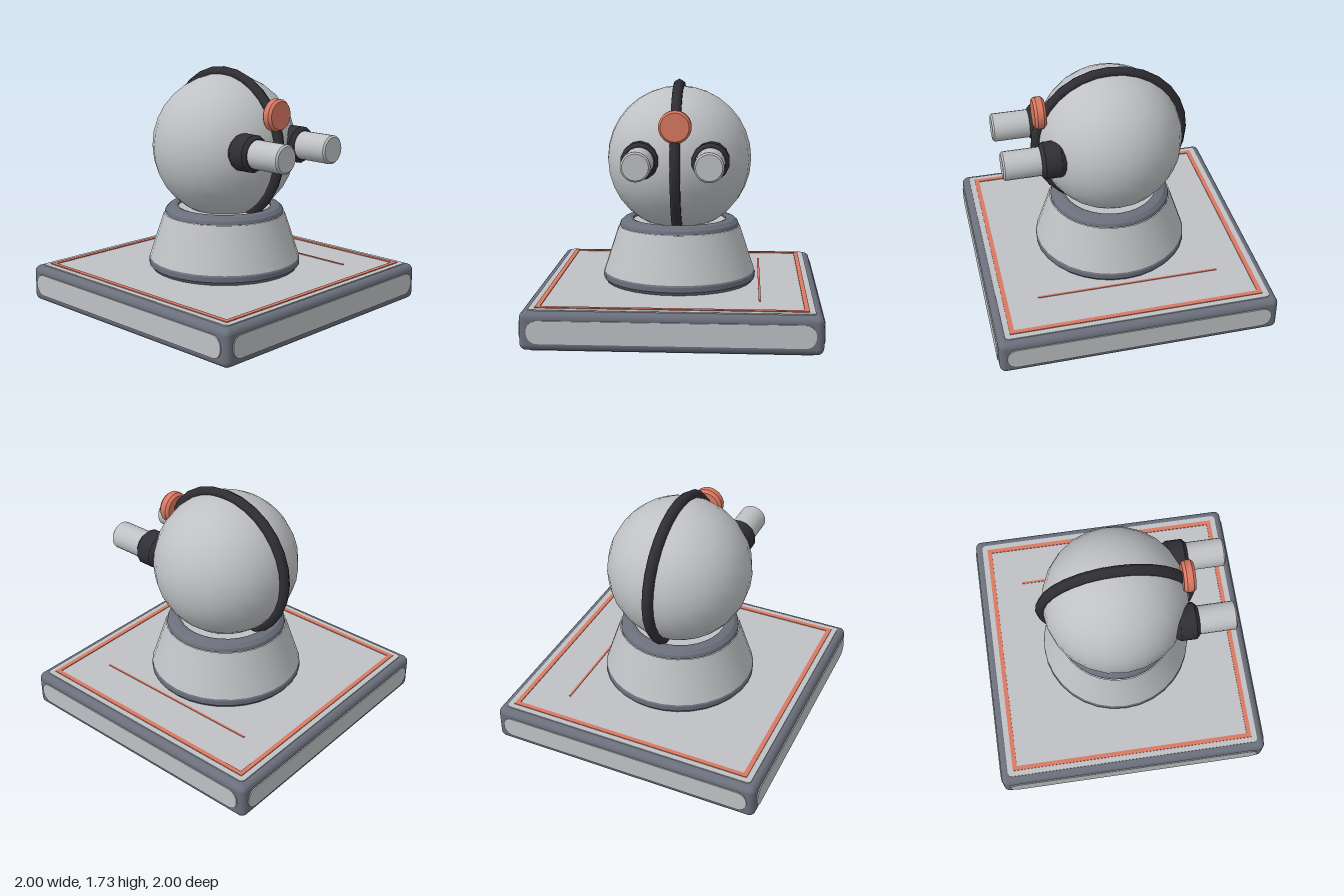
import * as THREE from 'three';
import { toCreasedNormals } from 'three/addons/utils/BufferGeometryUtils.js';
import { RoundedBoxGeometry } from 'three/addons/geometries/RoundedBoxGeometry.js';

const material = (name, color) => {
  const m = new THREE.MeshStandardMaterial({ color });
  m.name = name;
  return m;
};

// Rounded rectangle outline centred on the origin
function roundedRect(w, h, r) {
  const x = w / 2, y = h / 2, s = new THREE.Shape();
  s.absarc(x - r, y - r, r, 0, Math.PI / 2);
  s.absarc(-x + r, y - r, r, Math.PI / 2, Math.PI);
  s.absarc(-x + r, -y + r, r, Math.PI, Math.PI * 1.5);
  s.absarc(x - r, -y + r, r, Math.PI * 1.5, Math.PI * 2);
  s.closePath();
  return s;
}

const plate = (shape, depth) =>
  new THREE.ExtrudeGeometry(shape, { depth, bevelEnabled: false, curveSegments: 6 });

// Turned part with sharp edges between its bands
const turned = (points, sides) => toCreasedNormals(
  new THREE.LatheGeometry(points.map(([r, y]) => new THREE.Vector2(r, y)), sides), 0.45);

export function createModel() {
  const group = new THREE.Group();
  const light = material('lightGrey', 0xbfc1c4);
  const slate = material('slateGrey', 0x6a6f7b);
  const dark = material('charcoal', 0x2f2f35);
  const coral = material('coral', 0xd97862);

  const add = (name, geometry, mat, x = 0, y = 0, z = 0, rx = 0, ry = 0) => {
    const mesh = new THREE.Mesh(geometry, mat);
    mesh.name = name;
    mesh.position.set(x, y, z);
    mesh.rotation.set(rx, ry, 0);
    group.add(mesh);
    return mesh;
  };

  // Square base with inset-looking panels on every face
  add('baseFrame', new RoundedBoxGeometry(1.985, 0.26, 1.985, 3, 0.045), slate, 0, 0.138, 0);
  const sidePanel = plate(roundedRect(1.88, 0.155, 0.07), 0.009);
  for (let i = 0; i < 4; i++) {
    const a = i * Math.PI / 2;
    add('baseSidePanel', sidePanel, light, Math.sin(a) * 0.991, 0.138, Math.cos(a) * 0.991, 0, a);
  }
  const widePanel = plate(roundedRect(1.88, 1.88, 0.03), 0.009);
  add('baseTopPanel', widePanel, light, 0, 0.266, 0, -Math.PI / 2);
  add('baseBottomPanel', widePanel, light, 0, 0.009, 0, Math.PI / 2);

  // Painted border and single side stripe
  const border = roundedRect(1.8, 1.8, 0.002);
  border.holes.push(roundedRect(1.735, 1.735, 0.002));
  add('baseBorder', plate(border, 0.007), coral, 0, 0.274, 0, -Math.PI / 2);
  add('baseStripe', new THREE.BoxGeometry(0.015, 0.006, 1.31), coral, 0.58, 0.277, -0.005);

  // Pedestal
  add('pedestalFoot', turned([[0, 0.274], [0.53, 0.274], [0.55, 0.3], [0.55, 0.335], [0.54, 0.35], [0.5, 0.35]], 32), slate);
  add('pedestalBody', turned([[0.545, 0.347], [0.437, 0.675]], 32), light);
  add('pedestalCollar', turned([[0.41, 0.672], [0.432, 0.675], [0.425, 0.7], [0.4, 0.724],
    [0.36, 0.733], [0.335, 0.725], [0.335, 0.69]], 32), slate);
  add('pedestalTop', turned([[0.34, 0.71], [0, 0.71]], 32), light);

  // Head with a raised band around it
  add('head', new THREE.SphereGeometry(0.515, 24, 16), light, 0, 1.16, 0);
  add('headBand', new THREE.TorusGeometry(0.525, 0.04, 6, 28), dark, 0, 1.16, 0, 0, Math.PI / 2);

  // Twin barrels in dark sockets
  const socket = turned([[0, 0], [0.1, 0], [0.13, 0.045], [0.13, 0.155], [0.105, 0.18], [0, 0.18]], 14);
  const barrel = turned([[0, 0], [0.1, 0], [0.1, 0.288], [0.088, 0.3], [0, 0.3]], 20);
  for (const side of [-1, 1]) {
    add('barrelSocket', socket, dark, side * 0.24, 1.197, 0.36, Math.PI / 2);
    add('barrel', barrel, light, side * 0.24, 1.197, 0.503, Math.PI / 2);
  }

  // Round sensor on the brow
  add('browSensor', turned([[0, 0], [0.095, 0], [0.113, 0.02], [0.113, 0.063], [0.098, 0.082], [0, 0.082]], 18),
    coral, 0, 1.43, 0.456, Math.PI / 2);

  return group;
}
